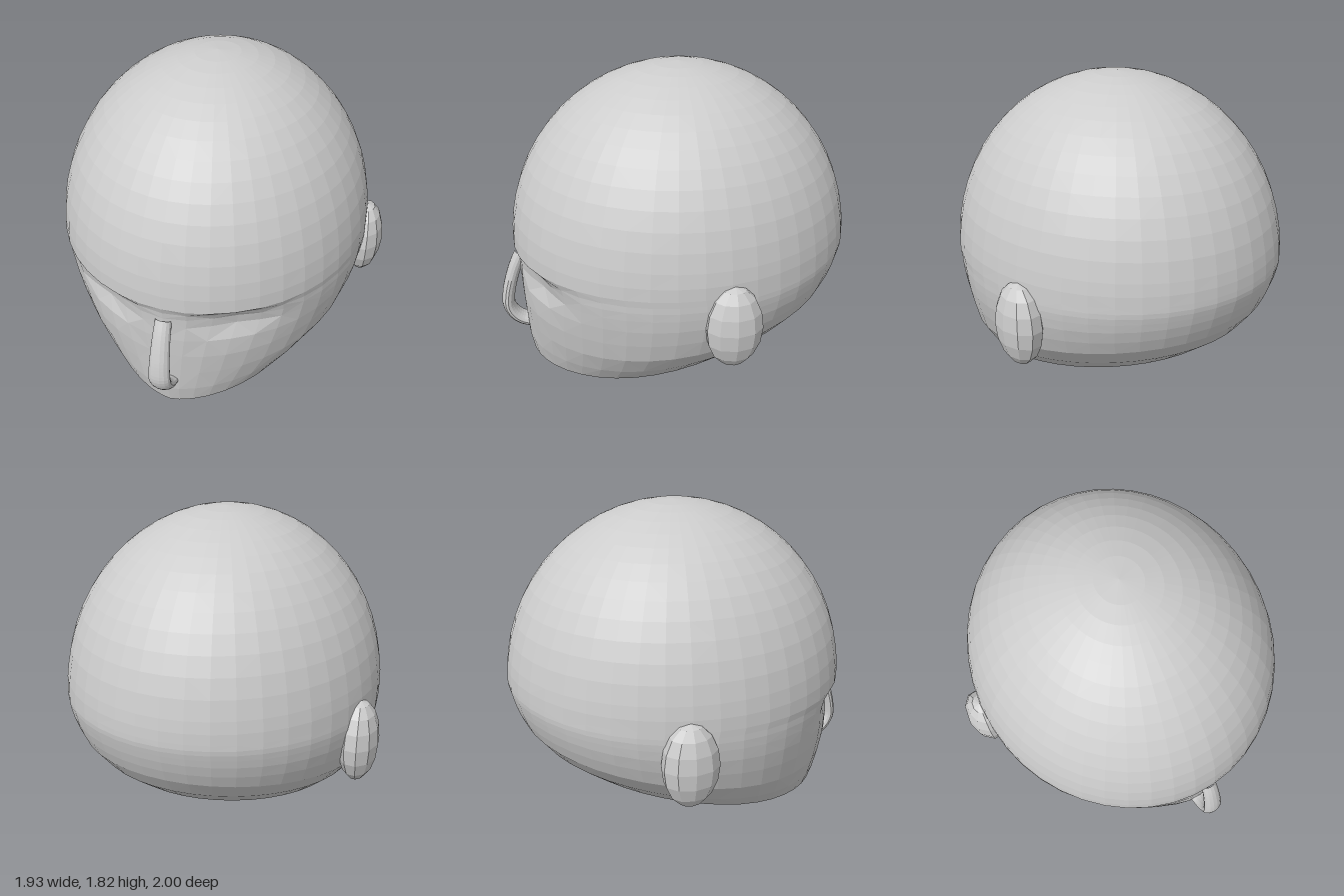
import * as THREE from 'three';

const SEGMENTS = 44;

// Face rings, chin to brow: [front z, front y, back z, back y, half width, eye socket depth]
const RINGS = [
  [0.75, 0.0, -0.42, 0.315, 0.45, 0],
  [0.835, 0.09, -0.72, 0.41, 0.61, 0],
  [0.855, 0.2, -0.85, 0.52, 0.71, 0],
  [0.863, 0.34, -0.93, 0.63, 0.8, 0],
  [0.87, 0.48, -0.96, 0.7, 0.835, 0],
  [0.875, 0.6, -0.98, 0.76, 0.857, 0.015],
  [0.88, 0.69, -0.99, 0.8, 0.866, 0.06],
  [0.882, 0.75, -0.997, 0.83, 0.87, 0.055],
  [0.886, 0.79, -1.0, 0.855, 0.87, 0.03],
  [0.9, 0.83, -0.999, 0.885, 0.87, 0],
  [0.897, 0.91, -0.995, 0.94, 0.867, 0],
];
// Skull rings: an ellipsoid dome above the brow
for (let degrees = 10; degrees <= 82; degrees += 6) {
  const t = THREE.MathUtils.degToRad(degrees);
  const y = 0.83 + 0.985 * Math.sin(t);
  const r = Math.cos(t);
  RINGS.push([-0.05 + 0.95 * r, y, -0.05 - 0.95 * r, y, 0.87 * r, 0]);
}

function headGeometry() {
  const points = [];
  const faces = [];
  for (const [zf, yf, zb, yb, width, socket] of RINGS) {
    // The jaw narrows toward the front, the skull is a plain ellipse
    const taper = 1 + 0.25 * THREE.MathUtils.clamp((0.75 - yf) / 0.5, 0, 1);
    for (let j = 0; j < SEGMENTS; j++) {
      const a = (j / SEGMENTS) * Math.PI * 2;
      const c = Math.cos(a);
      const s = Math.sin(a);
      const x = width * Math.sign(s) * Math.pow(Math.abs(s), c > 0 ? taper : 1);
      const t = (1 - c) / 2;
      let z = zf + (zb - zf) * t;
      // Press in an eye socket on each side of the nose
      if (c > 0) z -= socket * Math.exp(-Math.pow((Math.abs(x) - 0.36) / 0.19, 2));
      points.push(x, yf + (yb - yf) * t, z);
    }
  }
  const bottom = points.length / 3;
  points.push(0, 0.152, 0.1);
  const top = bottom + 1;
  points.push(0, 1.817, -0.05);

  const last = (RINGS.length - 1) * SEGMENTS;
  for (let j = 0; j < SEGMENTS; j++) {
    const k = (j + 1) % SEGMENTS;
    for (let i = 0; i < last; i += SEGMENTS) {
      const [a, b, c, d] = [i + j, i + k, i + SEGMENTS + k, i + SEGMENTS + j];
      // Alternate the diagonals for an even facet pattern
      if ((j + i / SEGMENTS) % 2) faces.push(a, b, c, a, c, d);
      else faces.push(a, b, d, b, c, d);
    }
    faces.push(bottom, k, j, top, last + j, last + k);
  }
  const geometry = new THREE.BufferGeometry();
  geometry.setAttribute('position', new THREE.Float32BufferAttribute(points, 3));
  geometry.setIndex(faces);
  geometry.computeVertexNormals();
  return geometry;
}

// Hooked nose: a tube that widens toward the tip
function noseGeometry() {
  const path = new THREE.CatmullRomCurve3([
    [0.73, 0.865], [0.66, 0.9], [0.56, 0.935], [0.47, 0.957], [0.39, 0.962],
    [0.33, 0.935], [0.29, 0.89], [0.27, 0.83],
  ].map(([y, z]) => new THREE.Vector3(0, y, z)));
  const geometry = new THREE.TubeGeometry(path, 28, 0.037, 14, false);
  const p = geometry.attributes.position;
  for (let i = 0; i < p.count; i++) {
    const widen = THREE.MathUtils.clamp((0.74 - p.getY(i)) / 0.34, 0, 1);
    p.setX(i, p.getX(i) * (1.2 + 0.45 * widen));
  }
  geometry.computeVertexNormals();
  return geometry;
}

export function createModel() {
  const model = new THREE.Group();
  const clay = new THREE.MeshStandardMaterial({ color: 0xcccccc });
  clay.name = 'grey clay';
  clay.flatShading = true;

  const add = (name, geometry) => {
    const mesh = new THREE.Mesh(geometry, clay);
    mesh.name = name;
    model.add(mesh);
    return mesh;
  };

  add('head', headGeometry());
  add('nose', noseGeometry());

  // Faceted oval ears
  for (const side of [-1, 1]) {
    const ear = add(side > 0 ? 'leftEar' : 'rightEar', new THREE.SphereGeometry(1, 10, 8));
    ear.scale.set(0.105, 0.228, 0.15);
    ear.position.set(side * 0.86, 0.688, -0.197);
  }
  return model;
}
